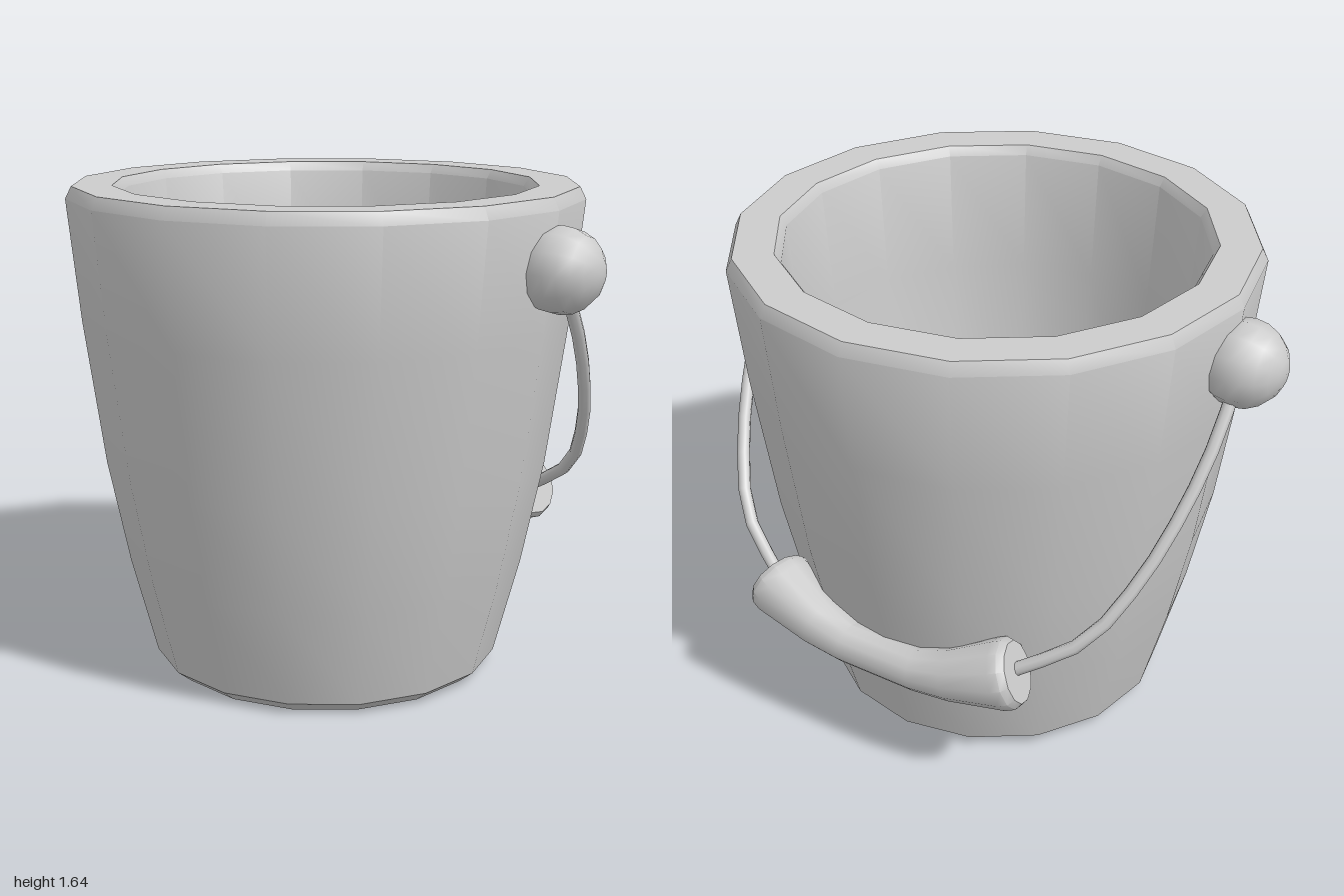
import * as THREE from 'three';
import { toCreasedNormals } from 'three/addons/utils/BufferGeometryUtils.js';

const material = new THREE.MeshStandardMaterial({ color: 0xcccccc });

function part(name, geometry, crease = 0.6) {
  const mesh = new THREE.Mesh(toCreasedNormals(geometry, crease), material);
  mesh.name = name;
  return mesh;
}

function lathe(profile, sides) {
  return new THREE.LatheGeometry(profile.map(([r, y]) => new THREE.Vector2(r, y)), sides);
}

// Lathe the grip along y, then lay it along x on a sagging arc
function gripGeometry(sag) {
  const half = [[0.07, 0.13], [0.085, 0.25], [0.115, 0.42], [0.115, 0.45], [0.1, 0.47], [0, 0.47]];
  const mirrored = half.map(([r, s]) => [r, -s]).reverse();
  const g = lathe([...mirrored, ...half], 12);
  const p = g.attributes.position;
  for (let i = 0; i < p.count; i++) {
    const r = p.getX(i), s = p.getY(i);
    const a = Math.atan(2 * sag * s);
    p.setXY(i, s + r * Math.sin(a), -1.235 + sag * s * s - r * Math.cos(a));
  }
  g.computeVertexNormals();
  return g;
}

export function createModel() {
  const model = new THREE.Group();
  model.name = 'bucket';

  // Thick-walled body: recessed underside, curved wall, rim, inner wall and floor
  model.add(part('bucketBody', lathe([
    [0, 0.06], [0.41, 0.06], [0.47, 0.02], [0.54, 0],
    [0.59, 0.04], [0.675, 0.37], [0.745, 0.72], [0.81, 1.2], [0.85, 1.6],
    [0.83, 1.64], [0.7, 1.64], [0.68, 1.61],
    [0.65, 1.2], [0.595, 0.72], [0.53, 0.36], [0.48, 0.13], [0, 0.13],
  ], 16)));

  // Handle swings about the knobs and hangs toward the back
  const handle = new THREE.Group();
  handle.name = 'handle';
  handle.position.y = 1.42;
  handle.rotation.x = 0.62;
  handle.add(part('grip', gripGeometry(0.55)));

  for (const side of [1, -1]) {
    const prefix = side > 0 ? 'left' : 'right';

    // Round pivot knob
    const ball = new THREE.SphereGeometry(0.138, 12, 10);
    ball.rotateZ(-side * Math.PI / 2);
    const knob = part(prefix + 'Knob', ball, 1);
    knob.position.set(side * 0.863, 1.42, 0);
    model.add(knob);

    // Wire from knob to grip
    const path = new THREE.CatmullRomCurve3([
      [0.86, 0.03], [0.855, 0.25], [0.825, 0.47], [0.76, 0.72], [0.65, 0.95], [0.43, 1.13],
    ].map(([x, drop]) => new THREE.Vector3(side * x, -drop, 0)));
    handle.add(part(prefix + 'Wire', new THREE.TubeGeometry(path, 10, 0.022, 8), 1));
  }

  model.add(handle);
  return model;
}
